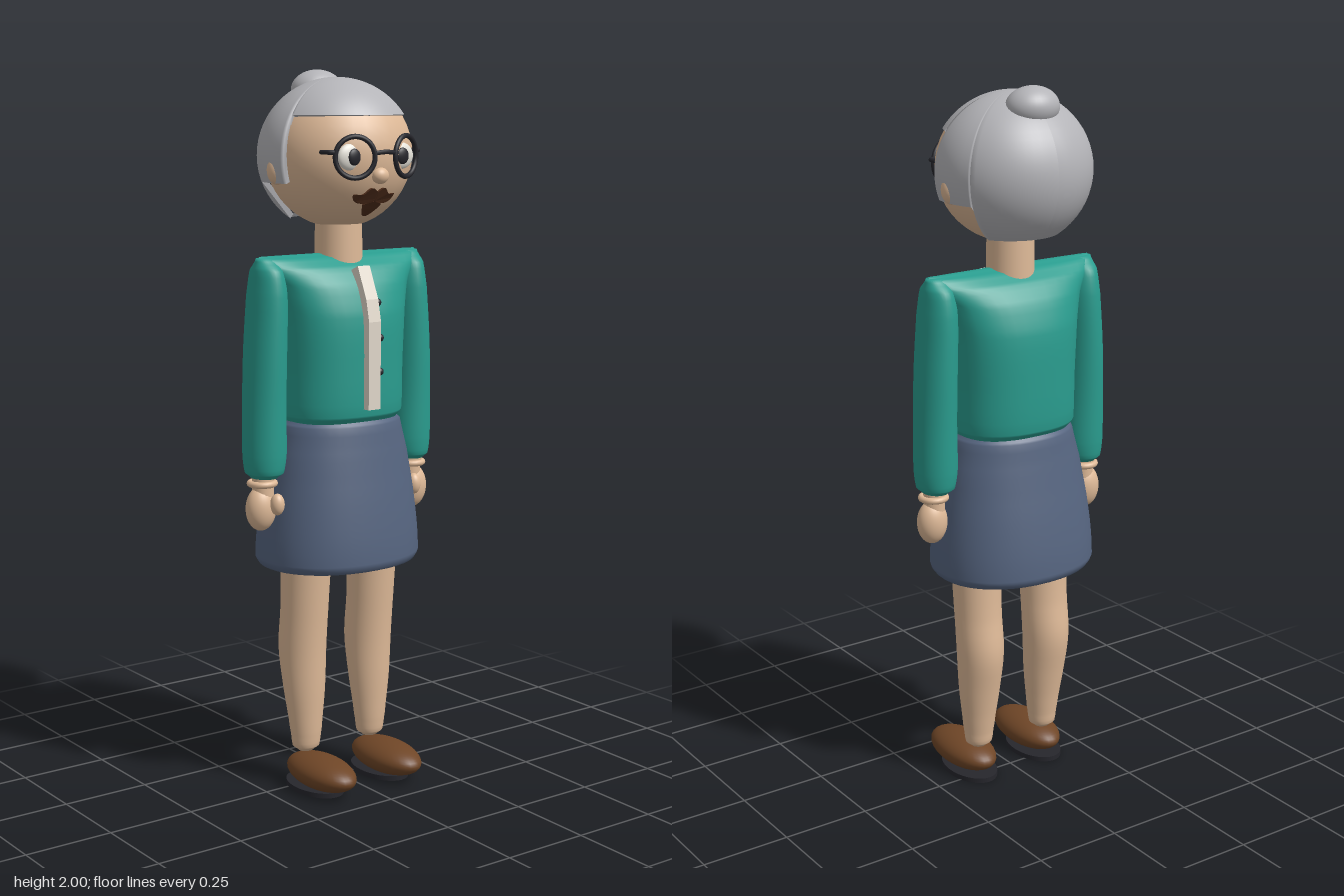
import * as THREE from 'three';

const mat = (name, color) => {
  const m = new THREE.MeshStandardMaterial({ color });
  m.name = name;
  return m;
};

// Closed body from upward rings [y, centreX, centreZ, radiusX, radiusZ], smoothed along its height
function loft(rings, { steps = 4, power = 1, sides = 32 } = {}) {
  const fine = [];
  const n = (rings.length - 1) * steps;
  for (let k = 0; k <= n; k++) {
    const i = Math.min(Math.floor(k / steps), rings.length - 2), t = k / steps - i;
    const before = rings[Math.max(i - 1, 0)], after = rings[Math.min(i + 2, rings.length - 1)];
    fine.push(rings[i].map((p, c) => {
      const q = rings[i + 1][c];
      const m0 = (q - before[c]) / 2, m1 = (after[c] - p) / 2;
      const v = (2 * t ** 3 - 3 * t * t + 1) * p + (t ** 3 - 2 * t * t + t) * m0
        + (3 * t * t - 2 * t ** 3) * q + (t ** 3 - t * t) * m1;
      return c === 0 ? p + (q - p) * t : v;
    }));
  }
  const pos = [], idx = [];
  const bend = (v) => Math.sign(v) * Math.abs(v) ** power;
  for (const [y, cx, cz, rx, rz] of fine) {
    for (let j = 0; j < sides; j++) {
      const a = (j / sides) * Math.PI * 2;
      pos.push(cx + rx * bend(Math.sin(a)), y, cz + rz * bend(Math.cos(a)));
    }
  }
  for (let i = 0; i < fine.length - 1; i++) {
    for (let j = 0; j < sides; j++) {
      const a = i * sides + j, b = i * sides + (j + 1) % sides;
      idx.push(a, b, a + sides, b, b + sides, a + sides);
    }
  }
  const last = (fine.length - 1) * sides, c = fine.length * sides;
  for (const r of [fine[0], fine[fine.length - 1]]) pos.push(r[1], r[0], r[2]);
  for (let j = 0; j < sides; j++) {
    const k = (j + 1) % sides;
    idx.push(c, k, j, c + 1, last + j, last + k);
  }
  return build(pos, idx);
}

function build(pos, idx) {
  const g = new THREE.BufferGeometry();
  g.setAttribute('position', new THREE.Float32BufferAttribute(pos, 3));
  g.setIndex(idx);
  g.computeVertexNormals();
  return g;
}

// Hair shell: an ellipsoid whose lower edge steps down from fringe to side to nape
function hairGeometry() {
  const cy = 1.77, cz = -0.01, rx = 0.22, ry = 0.21, rz = 0.21, rows = 24;
  const edge = (d) => (d < 74.5 ? 1.88 : d < 115.5 ? 1.7 : 1.6);
  const half = [0];
  for (let d = 6; d <= 180; d += 6) half.push(d);
  half.push(74, 75, 115, 116);
  half.sort((a, b) => a - b);
  const cols = [...half.slice(1).reverse().map((d) => -d), ...half];
  const pos = [], idx = [], stride = rows + 3;
  cols.forEach((d, j) => {
    const a = THREE.MathUtils.degToRad(d);
    const end = Math.acos((edge(Math.abs(d)) - cy) / ry);
    for (let i = 0; i < stride; i++) {
      const t = end * Math.min(i / rows, 1), s = i === rows + 2 ? 0.93 : 1;
      pos.push(s * rx * Math.sin(t) * Math.sin(a), cy + s * ry * Math.cos(t), cz + s * rz * Math.sin(t) * Math.cos(a));
    }
    if (j === cols.length - 1) return;
    for (let i = 0; i < stride - 1; i++) {
      if (i === rows) continue; // crisp edge before the rim
      const p = j * stride + i, q = p + stride;
      idx.push(p, p + 1, q + 1, p, q + 1, q);
    }
  });
  return build(pos, idx);
}

// Plate that follows the front of the face
function facePlate(points, depth) {
  const shape = new THREE.Shape();
  shape.moveTo(...points[0]);
  shape.splineThru([...points.slice(1), points[0]].map((p) => new THREE.Vector2(...p)));
  const g = new THREE.ExtrudeGeometry(shape, { depth, bevelEnabled: false, curveSegments: 24 });
  const p = g.attributes.position;
  for (let i = 0; i < p.count; i++) {
    const u = p.getX(i) / 0.205, v = (p.getY(i) - 1.775) / 0.2;
    p.setZ(i, p.getZ(i) + 0.195 * Math.sqrt(Math.max(0, 1 - u * u - v * v)) - 0.004);
  }
  g.computeVertexNormals();
  return g;
}

export function createModel() {
  const model = new THREE.Group();
  model.name = 'elderlyWoman';
  const skin = mat('skin', 0xdfba98), teal = mat('cardiganTeal', 0x2a9d8f), blue = mat('skirtBlue', 0x566580);
  const grey = mat('hairGrey', 0xb4b4b8), brown = mat('shoeBrown', 0x6f4627), dark = mat('nearBlack', 0x26262c);
  const lip = mat('darkBrown', 0x4f2d1b), white = mat('eyeWhite', 0xe6e3da), cream = mat('cream', 0xe2d9cc);

  const add = (name, geometry, material, x = 0, y = 0, z = 0) => {
    const m = new THREE.Mesh(geometry, material);
    m.name = name;
    m.position.set(x, y, z);
    model.add(m);
    return m;
  };
  const ball = (name, material, x, y, z, rx, ry = rx, rz = rx) =>
    add(name, new THREE.SphereGeometry(1, 32, 24), material, x, y, z).scale.set(rx, ry, rz);
  const rod = (name, material, r, ...pts) => add(name, new THREE.TubeGeometry(
    new THREE.CatmullRomCurve3(pts.map((p) => new THREE.Vector3(...p))), 8, r, 8), material);

  // Head and hair
  ball('head', skin, 0, 1.775, 0, 0.205, 0.2, 0.195);
  ball('nose', skin, 0, 1.722, 0.188, 0.025, 0.022, 0.02);
  add('hair', hairGeometry(), grey);
  ball('bun', grey, 0, 1.945, -0.1, 0.076, 0.055, 0.064);
  add('neck', new THREE.CylinderGeometry(0.064, 0.067, 0.16, 32), skin, 0, 1.54, 0);
  add('chinTuft', facePlate([[-0.028, 1.645], [0, 1.652], [0.028, 1.645], [0.015, 1.623], [0, 1.612], [-0.015, 1.623]], 0.012), lip);

  // Torso, placket and buttons
  add('cardigan', loft([
    [1.045, 0, 0, 0.165, 0.125], [1.07, 0, 0, 0.18, 0.144], [1.2, 0, 0, 0.182, 0.147],
    [1.34, 0, 0, 0.192, 0.143], [1.42, 0, 0, 0.213, 0.118], [1.47, 0, 0, 0.25, 0.083],
    [1.498, 0, 0, 0.27, 0.042], [1.507, 0, 0, 0.262, 0.008],
  ], { power: 0.85, sides: 40 }), teal);
  const strip = new THREE.Shape([[0.167, 1.09], [0.168, 1.33], [0.155, 1.39], [0.116, 1.478],
    [0.085, 1.465], [0.125, 1.38], [0.138, 1.33], [0.138, 1.09]].map(([z, y]) => new THREE.Vector2(-z, y)));
  const placket = add('placket', new THREE.ExtrudeGeometry(strip, { depth: 0.04, bevelEnabled: false }), cream, -0.02, 0, 0);
  placket.rotation.y = Math.PI / 2;
  for (const y of [1.19, 1.283, 1.378]) ball('button', dark, 0.032, y, y > 1.3 ? 0.135 : 0.147, 0.011);

  // Skirt
  add('skirt', loft([
    [0.636, 0, -0.006, 0.2, 0.16], [0.642, 0, -0.006, 0.228, 0.184], [0.665, 0, -0.006, 0.24, 0.193],
    [0.8, 0, -0.004, 0.23, 0.18], [0.95, 0, -0.001, 0.205, 0.156], [1.04, 0, 0, 0.182, 0.141],
    [1.06, 0, 0, 0.165, 0.125],
  ], { power: 0.92, sides: 40 }), blue);

  for (const s of [1, -1]) {
    const side = s > 0 ? 'left' : 'right';

    // Face details
    ball(side + 'Ear', skin, s * 0.195, 1.735, -0.01, 0.028, 0.04, 0.028);
    ball(side + 'EyeWhite', white, s * 0.082, 1.772, 0.168, 0.042, 0.036, 0.016);
    ball(side + 'Iris', dark, s * 0.08, 1.772, 0.181, 0.02, 0.022, 0.008);
    const rim = add(side + 'GlassesRim', new THREE.TorusGeometry(0.054, 0.007, 10, 36), dark, s * 0.084, 1.772, 0.19);
    rim.rotation.y = s * 0.38;
    rod(side + 'GlassesHinge', dark, 0.006, [s * 0.134, 1.785, 0.17], [s * 0.148, 1.785, 0.162], [s * 0.152, 1.785, 0.13]);
    add(side + 'Moustache', facePlate([[0, 1.678], [s * 0.02, 1.689], [s * 0.042, 1.672], [s * 0.064, 1.672],
      [s * 0.055, 1.654], [s * 0.03, 1.647], [0, 1.655]], 0.013), lip);

    // Arm and hand
    add(side + 'Sleeve', loft([
      [0.906, s * 0.252, 0, 0.035, 0.042], [0.92, s * 0.25, 0, 0.052, 0.058], [0.97, s * 0.249, 0, 0.059, 0.064],
      [1.1, s * 0.249, 0, 0.057, 0.067], [1.25, s * 0.245, 0, 0.054, 0.071], [1.4, s * 0.238, 0, 0.049, 0.069],
      [1.47, s * 0.238, 0, 0.041, 0.055], [1.503, s * 0.24, 0, 0.03, 0.02],
    ]), teal);
    add(side + 'Wrist', new THREE.CylinderGeometry(0.03, 0.03, 0.09, 20), skin, s * 0.255, 0.885, 0);
    const bangle = add(side + 'Bangle', new THREE.TorusGeometry(0.034, 0.009, 10, 28), skin, s * 0.257, 0.89, 0);
    bangle.rotation.x = Math.PI / 2;
    ball(side + 'Hand', skin, s * 0.262, 0.82, 0, 0.044, 0.062, 0.038);
    ball(side + 'Thumb', skin, s * 0.236, 0.835, 0.042, 0.02, 0.03, 0.02);

    // Leg and shoe
    add(side + 'Leg', loft([
      [0.098, s * 0.113, -0.002, 0.022, 0.02], [0.112, s * 0.113, -0.002, 0.039, 0.036], [0.16, s * 0.113, -0.002, 0.046, 0.043],
      [0.28, s * 0.114, -0.008, 0.06, 0.057], [0.4, s * 0.115, -0.015, 0.067, 0.069], [0.52, s * 0.115, -0.004, 0.068, 0.067],
      [0.7, s * 0.115, 0.005, 0.072, 0.072],
    ]), skin);
    ball(side + 'Shoe', brown, s * 0.115, 0.055, 0.077, 0.072, 0.046, 0.136);
    add(side + 'Sole', new THREE.CylinderGeometry(1, 1, 0.014, 36), dark, s * 0.115, 0.007, 0.045).scale.set(0.068, 1, 0.105);
  }
  rod('glassesBridge', dark, 0.006, [-0.034, 1.782, 0.209], [0, 1.785, 0.214], [0.034, 1.782, 0.209]);
  return model;
}
